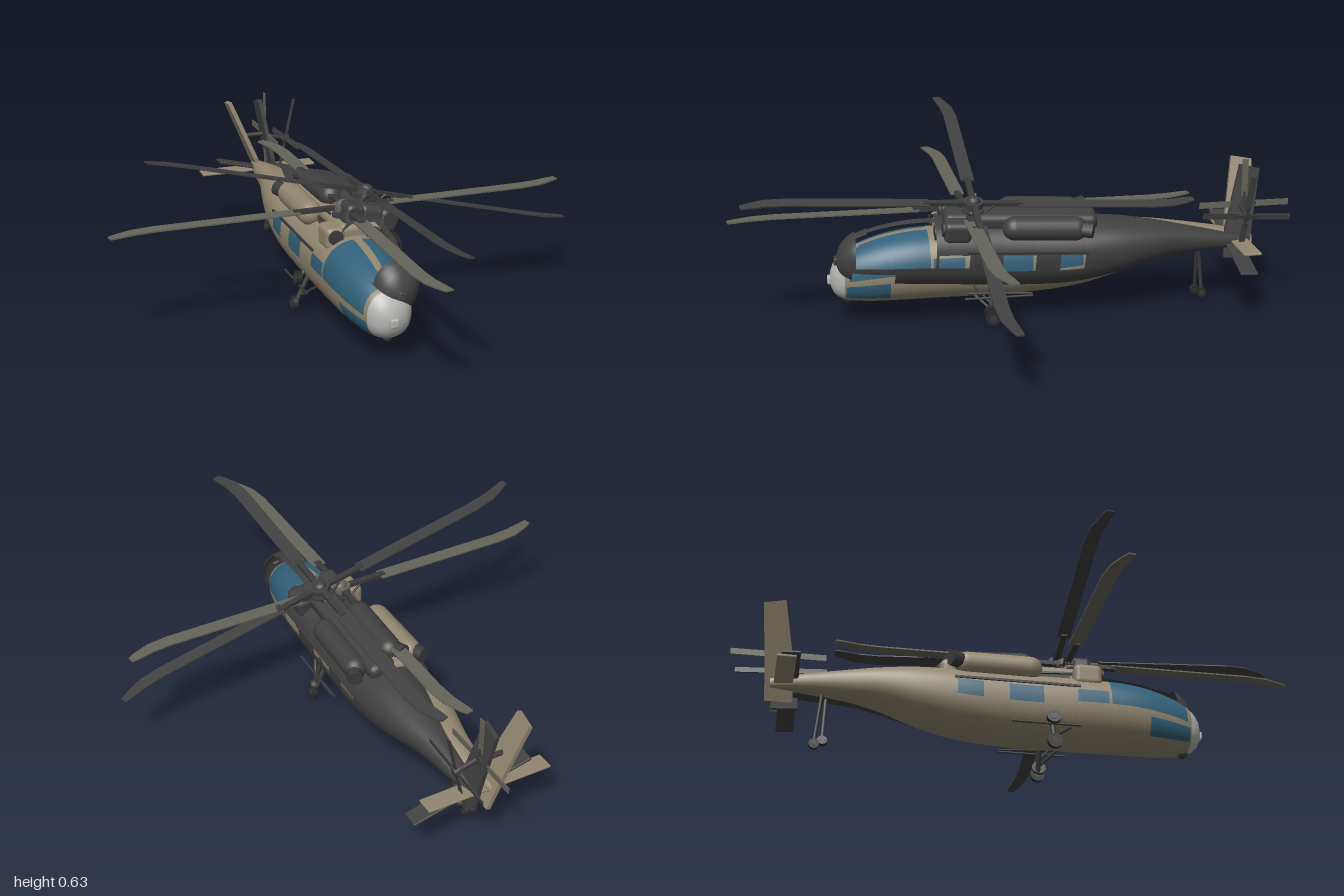
import * as THREE from 'three';
import { RoundedBoxGeometry } from 'three/addons/geometries/RoundedBoxGeometry.js';

const mat = (name, color, side = THREE.FrontSide) => {
  const m = new THREE.MeshStandardMaterial({ color, side });
  m.name = name;
  return m;
};

const add = (parent, name, geometry, material, x = 0, y = 0, z = 0) => {
  const m = new THREE.Mesh(geometry, material);
  m.name = name;
  m.position.set(x, y, z);
  parent.add(m);
  return m;
};

// Round bar between two points
const bar = (parent, name, a, b, r, material) => {
  const p = new THREE.Vector3(...a), q = new THREE.Vector3(...b);
  const m = add(parent, name, new THREE.CylinderGeometry(r, r, p.distanceTo(q), 10), material);
  m.position.copy(p).add(q).multiplyScalar(0.5);
  m.quaternion.setFromUnitVectors(new THREE.Vector3(0, 1, 0), q.sub(p).normalize());
  return m;
};

// Flat plate cut from an outline, centred on its thickness
const plate = (points, depth) => {
  const shape = new THREE.Shape(points.map(p => new THREE.Vector2(...p)));
  return new THREE.ExtrudeGeometry(shape, { depth, bevelEnabled: false }).translate(0, 0, -depth / 2);
};

// Fuselage stations: z, half width, bottom, top
const stations = [
  [0.655, 0.002, 0.15, 0.154], [0.64, 0.048, 0.105, 0.205], [0.6, 0.08, 0.08, 0.248],
  [0.52, 0.105, 0.071, 0.285], [0.42, 0.12, 0.07, 0.31], [0.3, 0.125, 0.07, 0.32],
  [0, 0.125, 0.07, 0.32], [-0.2, 0.125, 0.085, 0.32], [-0.35, 0.113, 0.12, 0.32],
  [-0.48, 0.088, 0.165, 0.31], [-0.6, 0.058, 0.19, 0.295], [-0.75, 0.035, 0.205, 0.27],
  [-0.86, 0.012, 0.215, 0.25],
];
const curves = [1, 2, 3].map(k => new THREE.SplineCurve(stations.map(s => new THREE.Vector2(s[0], s[k]))));

// Width, bottom and top of the fuselage at a given z
function sectionAt(z) {
  let lo = 0, hi = 1;
  for (let i = 0; i < 30; i++) {
    const mid = (lo + hi) / 2;
    if (curves[0].getPoint(mid).x > z) lo = mid; else hi = mid;
  }
  return curves.map(c => c.getPoint(lo).y);
}

// Which part of the skin a patch belongs to; h is its height within the section
function skinPart(z, h, x) {
  const within = (v, a, b) => v > a && v < b;
  if (z > 0.605) return 'nose';
  const canopy = within(z, 0.31, 0.59) && h > 0.47 && Math.abs(x) > 0.012;
  const door = within(z, 0.19, 0.3) && within(h, 0.47, 0.7);
  const chin = within(z, 0.45, 0.6) && within(h, 0.12, 0.38);
  const cabin = (within(z, -0.05, 0.07) || within(z, -0.23, -0.14)) && within(h, 0.46, 0.7);
  return canopy || door || chin || cabin ? 'glass' : 'body';
}

function addFuselage(g, m) {
  const N = 72;
  const zs = [0.655, 0.653, 0.648, 0.64, 0.63, 0.618, 0.605, 0.6, 0.59, 0.07, -0.05, -0.14, -0.23, 0.31, 0.3, 0.19, 0.45];
  for (let z = 0.57; z > -0.86; z -= 0.02) zs.push(z);
  zs.push(-0.86);
  zs.sort((a, b) => b - a);
  const pos = [], index = { body: [], glass: [], nose: [] };
  const power = (v, e) => Math.sign(v) * Math.abs(v) ** e;
  zs.forEach((z, i) => {
    const [w, b, t] = sectionAt(z);
    for (let j = 0; j < N; j++) {
      const a = -Math.PI / 2 + j / N * Math.PI * 2;
      pos.push(w * power(Math.cos(a), 0.88), (b + t) / 2 + (t - b) / 2 * power(Math.sin(a), 0.88), z);
      if (i === zs.length - 1) continue;
      const mid = a + Math.PI / N, k = (j + 1) % N;
      const part = skinPart((z + zs[i + 1]) / 2, 0.5 + 0.5 * power(Math.sin(mid), 0.88), w * Math.cos(mid));
      const p = i * N + j, q = i * N + k;
      index[part].push(p, p + N, q + N, p, q + N, q);
    }
  });
  const whole = new THREE.BufferGeometry();
  whole.setAttribute('position', new THREE.Float32BufferAttribute(pos, 3));
  whole.setIndex([...index.body, ...index.glass, ...index.nose]);
  whole.computeVertexNormals();
  for (const part of ['body', 'glass', 'nose']) {
    if (!m[part]) continue; // unglazed openings
    const geo = whole.clone();
    geo.setIndex(index[part]);
    add(g, { body: 'fuselage', glass: 'windows', nose: 'noseCap' }[part], geo, m[part]);
  }
}

function addMainRotor(g, m) {
  const rotor = new THREE.Group();
  rotor.name = 'mainRotor';
  rotor.position.set(0, 0.39, 0.175);
  g.add(rotor);
  add(rotor, 'mast', new THREE.CylinderGeometry(0.018, 0.024, 0.07, 16), m.metal, 0, -0.03, 0);
  add(rotor, 'hub', new THREE.CylinderGeometry(0.036, 0.036, 0.02, 20), m.blade);
  add(rotor, 'hubCap', new THREE.SphereGeometry(0.024, 16, 8), m.blade, 0, 0.01, 0).scale.y = 0.7;
  add(rotor, 'swashPlate', new THREE.CylinderGeometry(0.04, 0.04, 0.008, 20), m.metal, 0, -0.028, 0);
  const blade = plate([[0.16, -0.025], [0.66, -0.025], [0.74, -0.015], [0.8, 0.01], [0.825, 0.025],
    [0.82, 0.05], [0.79, 0.045], [0.73, 0.031], [0.66, 0.025], [0.16, 0.025]], 0.005).rotateX(-Math.PI / 2);
  for (let i = 0; i < 4; i++) {
    const arm = new THREE.Group();
    arm.name = 'rotorArm';
    arm.rotation.y = i * Math.PI / 2;
    rotor.add(arm);
    add(arm, 'blade', blade, m.blade);
    add(arm, 'bladeRoot', new THREE.BoxGeometry(0.16, 0.014, 0.022), m.metal, 0.1, 0, 0);
    bar(arm, 'pitchLink', [0.04, -0.028, 0.018], [0.07, 0, 0.018], 0.004, m.metal);
  }
}

function addTail(g, m) {
  // Canted fin, leaning towards the right
  const fin = plate([[0.78, -0.07], [0.875, -0.07], [0.88, 0.03], [0.9, 0.265], [0.825, 0.28], [0.78, 0.04]], 0.016)
    .rotateY(Math.PI / 2);
  add(g, 'tailFin', fin, m.body, 0, 0.24, 0).rotation.z = 0.38;
  add(g, 'tailplane', new RoundedBoxGeometry(0.46, 0.01, 0.065, 2, 0.004), m.body, 0, 0.23, -0.815);

  const rotor = new THREE.Group();
  rotor.name = 'tailRotor';
  rotor.position.set(0.04, 0.36, -0.835);
  g.add(rotor);
  add(rotor, 'tailHub', new THREE.CylinderGeometry(0.016, 0.016, 0.02, 14).rotateZ(Math.PI / 2), m.metal);
  bar(rotor, 'tailShaft', [-0.09, 0, 0], [0, 0, 0], 0.009, m.metal);
  for (let i = 0; i < 4; i++) {
    const arm = new THREE.Group();
    arm.rotation.x = i * Math.PI / 2;
    arm.name = 'tailRotorArm';
    rotor.add(arm);
    add(arm, 'tailBlade', new THREE.BoxGeometry(0.004, 0.135, 0.022), m.blade, 0, 0.0975, 0);
    add(arm, 'tailBladeRoot', new THREE.BoxGeometry(0.008, 0.04, 0.01), m.metal, 0, 0.025, 0);
  }
}

function addWheel(g, m, name, x, y, z, r) {
  add(g, name, new THREE.CylinderGeometry(r, r, 0.016, 20).rotateZ(Math.PI / 2), m.tyre, x, y, z);
  add(g, name + 'Hub', new THREE.CylinderGeometry(r * 0.5, r * 0.5, 0.019, 14).rotateZ(Math.PI / 2), m.metal, x, y, z);
}

function helicopter(name, m) {
  const g = new THREE.Group();
  g.name = name;
  addFuselage(g, m);

  // Roof fairing and spine
  add(g, 'roofFairing', new RoundedBoxGeometry(0.1, 0.085, 0.56, 4, 0.025), m.body, 0, 0.318, 0);
  for (const s of [-1, 1]) {
    // Engines with intakes and exhausts
    const pod = new THREE.CapsuleGeometry(0.044, 0.22, 8, 20).rotateX(Math.PI / 2);
    add(g, 'engine', pod, m.body, s * 0.07, 0.328, -0.08);
    add(g, 'intakeBox', new RoundedBoxGeometry(0.07, 0.08, 0.1, 3, 0.02), m.body, s * 0.065, 0.315, 0.235);
    add(g, 'intake', new THREE.CylinderGeometry(0.026, 0.026, 0.02, 18).rotateX(Math.PI / 2), m.metal, s * 0.067, 0.322, 0.28);
    bar(g, 'exhaust', [s * 0.075, 0.33, -0.19], [s * 0.1, 0.335, -0.25], 0.028, m.metal);
    // Landing gear and side rails
    bar(g, 'mainStrut', [s * 0.095, 0.14, 0.1], [s * 0.148, 0.03, 0.1], 0.009, m.metal);
    bar(g, 'dragStrut', [s * 0.09, 0.11, 0.17], [s * 0.14, 0.05, 0.1], 0.005, m.metal);
    addWheel(g, m, 'mainWheel', s * 0.156, 0.027, 0.1, 0.026);
    bar(g, 'sideRail', [s * 0.14, 0.097, 0.195], [s * 0.14, 0.097, -0.045], 0.004, m.metal);
    add(g, 'doorRail', new THREE.BoxGeometry(0.006, 0.008, 0.44), m.metal, s * 0.121, 0.255, -0.02);
  }
  // Tail wheel
  bar(g, 'tailStrut', [0, 0.21, -0.68], [0, 0.02, -0.7], 0.007, m.metal);
  addWheel(g, m, 'tailWheel', 0, 0.018, -0.7, 0.018);
  // Chin sensor
  add(g, 'sensor', new THREE.SphereGeometry(0.018, 14, 10), m.metal, 0, 0.08, 0.59);
  add(g, 'noseSensor', new RoundedBoxGeometry(0.03, 0.03, 0.02, 2, 0.006), m.nose, 0, 0.15, 0.652);

  addMainRotor(g, m);
  addTail(g, m);
  return g;
}

export function createModel() {
  const model = new THREE.Group();
  model.name = 'helicopterPair';
  const metal = mat('dark metal', 0x3a3a3a);
  const tyre = mat('tyre', 0x2b2b2b);
  const charcoal = mat('charcoal', 0x404040, THREE.DoubleSide);

  const tan = helicopter('tanHelicopter', {
    body: mat('tan', 0x91866f, THREE.DoubleSide), glass: mat('blue glass', 0x32617a),
    nose: mat('light grey', 0xb4b4b2), blade: mat('olive grey', 0x66655a), metal, tyre,
  });
  tan.position.x = -0.02;
  model.add(tan);

  // Second, banked airframe with open windows, placed by its rotor hub
  const dark = helicopter('darkAirframe', { body: charcoal, nose: charcoal, blade: charcoal, metal, tyre });
  dark.position.set(0, -0.39, -0.175);
  const banked = new THREE.Group();
  banked.name = 'bankedHelicopter';
  banked.add(dark);
  banked.position.set(0.07, 0.43, 0.155);
  banked.rotation.set(-0.057, 0, -0.2426);
  banked.scale.setScalar(0.97);
  model.add(banked);
  return model;
}
